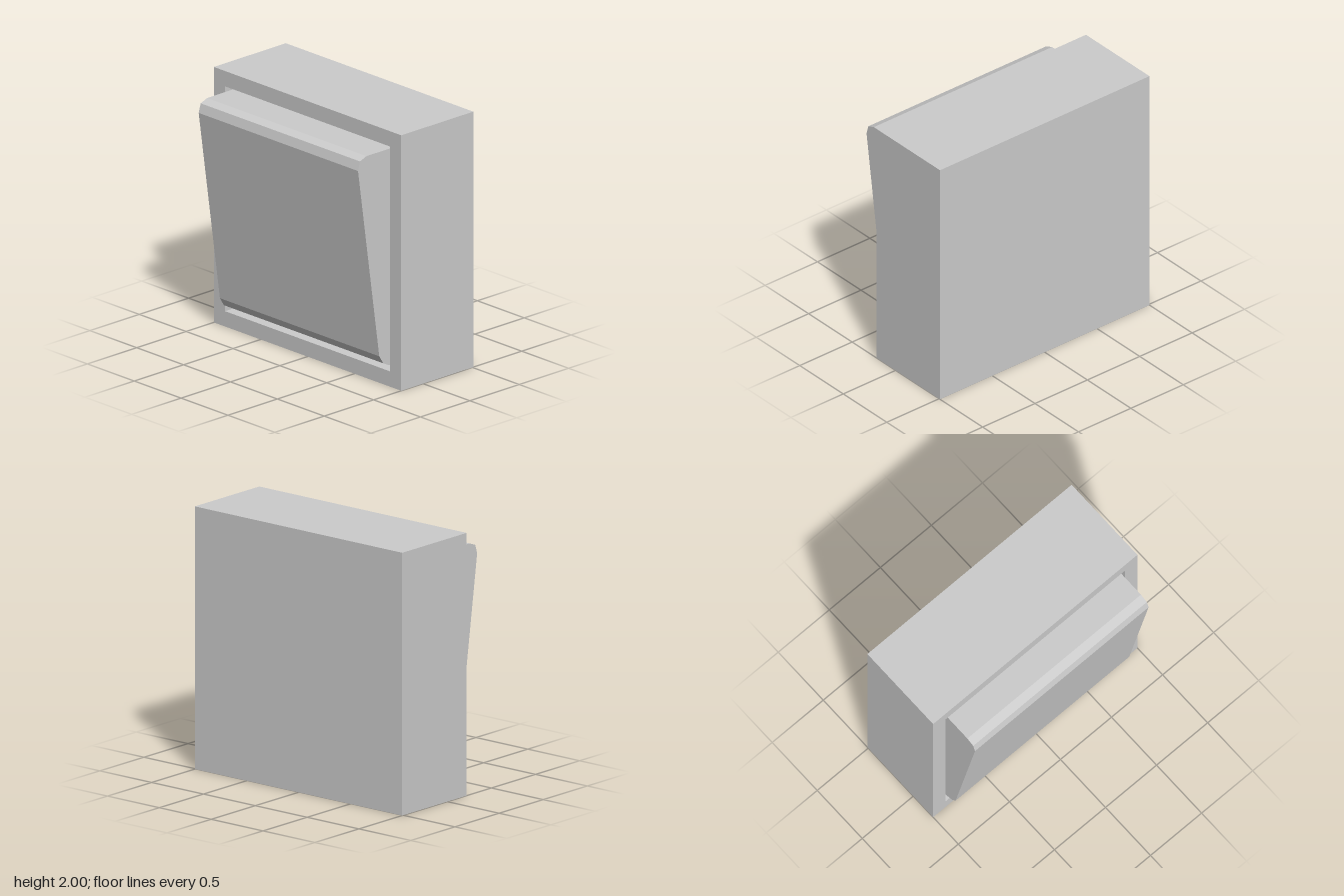
import * as THREE from 'three';

const BACK = -0.51, FLOOR = 0.02, FRONT = 0.22; // z of housing back, recess floor, housing face

// Square outline centred on x, between heights y0 and y1
function outline(Type, half, y0, y1) {
  const path = new Type();
  path.moveTo(-half, y0);
  path.lineTo(half, y0);
  path.lineTo(half, y1);
  path.lineTo(-half, y1);
  path.closePath();
  return path;
}

export function createModel() {
  const group = new THREE.Group();
  const grey = new THREE.MeshStandardMaterial({ color: 0xcccccc });
  grey.name = 'light grey plastic';

  const add = (name, geometry) => {
    const mesh = new THREE.Mesh(geometry, grey);
    mesh.name = name;
    group.add(mesh);
    return mesh;
  };

  // Solid rear of the housing, whose front is the recess floor
  add('housingBack', new THREE.BoxGeometry(2, 2, FLOOR - BACK))
    .position.set(0, 1, (FLOOR + BACK) / 2);

  // Frame around the recess
  const frame = outline(THREE.Shape, 1, 0, 2);
  frame.holes.push(outline(THREE.Path, 0.88, 0.12, 1.88));
  add('housingFrame', new THREE.ExtrudeGeometry(frame, { depth: FRONT - FLOOR, bevelEnabled: false }))
    .position.z = FLOOR;

  // Tilted rocker: side profile as (z, y), extruded across the width
  const profile = new THREE.Shape([
    [FLOOR, 0.155], [0.2, 0.155], [0.26, 0.185], [0.3, 0.25],
    [0.515, 1.755], [0.495, 1.825], [0.43, 1.85], [FLOOR, 1.85],
  ].map(([z, y]) => new THREE.Vector2(z, y)));
  const rocker = new THREE.ExtrudeGeometry(profile, { depth: 1.7, bevelEnabled: false });
  rocker.translate(0, 0, -0.85).rotateY(-Math.PI / 2);
  add('rocker', rocker);

  return group;
}
